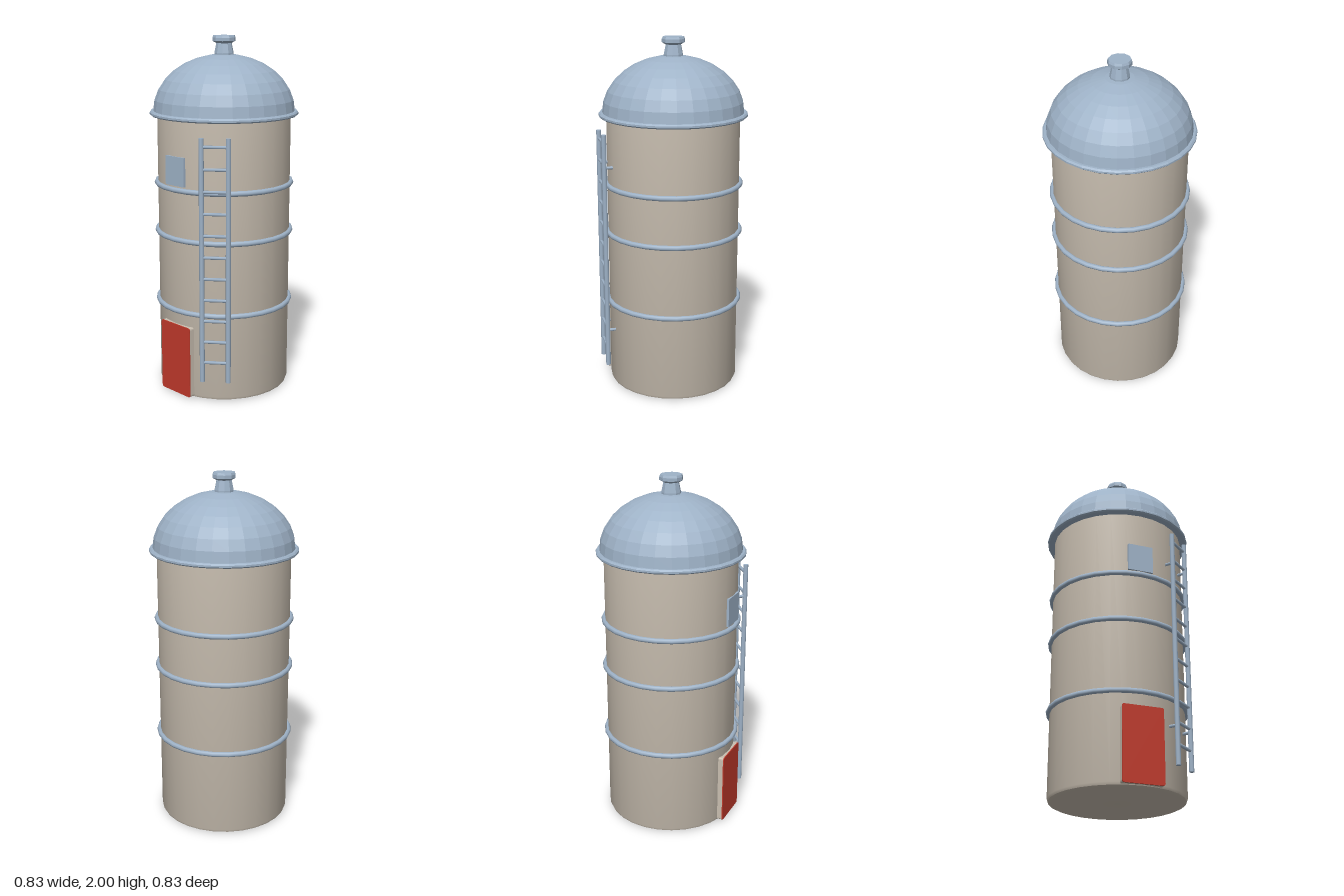
import * as THREE from 'three';
import { toCreasedNormals } from 'three/addons/utils/BufferGeometryUtils.js';

const SIDES = 28;
const material = (name, color) => {
  const m = new THREE.MeshStandardMaterial({ color });
  m.name = name;
  return m;
};

export function createModel() {
  const model = new THREE.Group();
  model.name = 'silo';
  const cream = material('cream wall', 0xc9bfb1);
  const steel = material('blue steel', 0x9fb3c8);
  const red = material('red door', 0xc0392b);

  const add = (name, geometry, mat, x = 0, y = 0, z = 0, parent = model) => {
    const mesh = new THREE.Mesh(geometry, mat);
    mesh.name = name;
    mesh.position.set(x, y, z);
    parent.add(mesh);
    return mesh;
  };
  const lathe = (points, sides, crease) => toCreasedNormals(
    new THREE.LatheGeometry(points.map(([r, y]) => new THREE.Vector2(r, y)), sides), crease);

  // Wall with a small bevel at the foot
  add('wall', lathe([[0, 0], [0.355, 0], [0.368, 0.006], [0.374, 0.02], [0.374, 1.575]], SIDES, 0.6), cream);

  // Eave ring
  add('eaveRing', lathe([[0.36, 1.565], [0.408, 1.565], [0.416, 1.572], [0.416, 1.582],
    [0.408, 1.59], [0.38, 1.59]], SIDES, 0.1), steel);

  // Faceted dome
  const dome = [];
  for (let i = 0; i <= 8; i++) {
    const a = (i / 8) * Math.PI / 2;
    dome.push([i === 8 ? 0 : 0.396 * Math.cos(a), 1.588 + 0.312 * Math.sin(a)]);
  }
  add('dome', lathe(dome, SIDES, 0.02), steel);

  // Vent cap on the dome
  add('vent', lathe([[0.054, 1.885], [0.054, 1.905], [0.043, 1.958], [0.065, 1.97],
    [0.065, 1.988], [0.06, 2], [0, 2]], 10, 0.1), steel);

  // Hoops round the wall
  for (const y of [0.5, 0.91, 1.187]) {
    const hoop = new THREE.TorusGeometry(0.38, 0.015, 8, SIDES);
    hoop.rotateX(Math.PI / 2);
    add('hoop', hoop, steel, 0, y, 0);
  }

  // Door: slab with round corners and a thin painted face
  const rounded = (w, h, r, depth) => {
    const s = new THREE.Shape();
    const x = w / 2, y = h / 2;
    s.moveTo(-x + r, -y);
    s.lineTo(x - r, -y).quadraticCurveTo(x, -y, x, -y + r);
    s.lineTo(x, y - r).quadraticCurveTo(x, y, x - r, y);
    s.lineTo(-x + r, y).quadraticCurveTo(-x, y, -x, y - r);
    s.lineTo(-x, -y + r).quadraticCurveTo(-x, -y, -x + r, -y);
    return new THREE.ExtrudeGeometry(s, { depth, bevelEnabled: false, curveSegments: 3 });
  };
  add('doorSlab', rounded(0.23, 0.41, 0.012, 0.042), cream, 0, 0.215, 0.34);
  add('doorFace', rounded(0.23, 0.41, 0.012, 0.006), red, 0, 0.215, 0.382);

  // Hatch high on the front
  add('hatch', new THREE.BoxGeometry(0.144, 0.16, 0.03), steel, 0, 1.29, 0.364);

  // Ladder, built facing +z and turned round the wall
  const ladder = new THREE.Group();
  ladder.name = 'ladder';
  ladder.rotation.y = 0.665;
  model.add(ladder);
  const half = 0.072, out = 0.411;
  for (const x of [-half, half]) {
    add('ladderRail', new THREE.CylinderGeometry(0.014, 0.014, 1.36, 8), steel, x, 0.81, out, ladder);
    for (const y of [0.345, 1.305]) {
      const bracket = new THREE.CylinderGeometry(0.009, 0.009, 0.055, 6);
      bracket.rotateX(Math.PI / 2);
      add('ladderBracket', bracket, steel, x, y, out - 0.0275, ladder);
    }
  }
  for (let i = 0; i < 11; i++) {
    const rung = new THREE.CylinderGeometry(0.009, 0.009, 2 * half, 6);
    rung.rotateZ(Math.PI / 2);
    add('ladderRung', rung, steel, 0, 0.243 + 0.12 * i, out, ladder);
  }
  return model;
}
